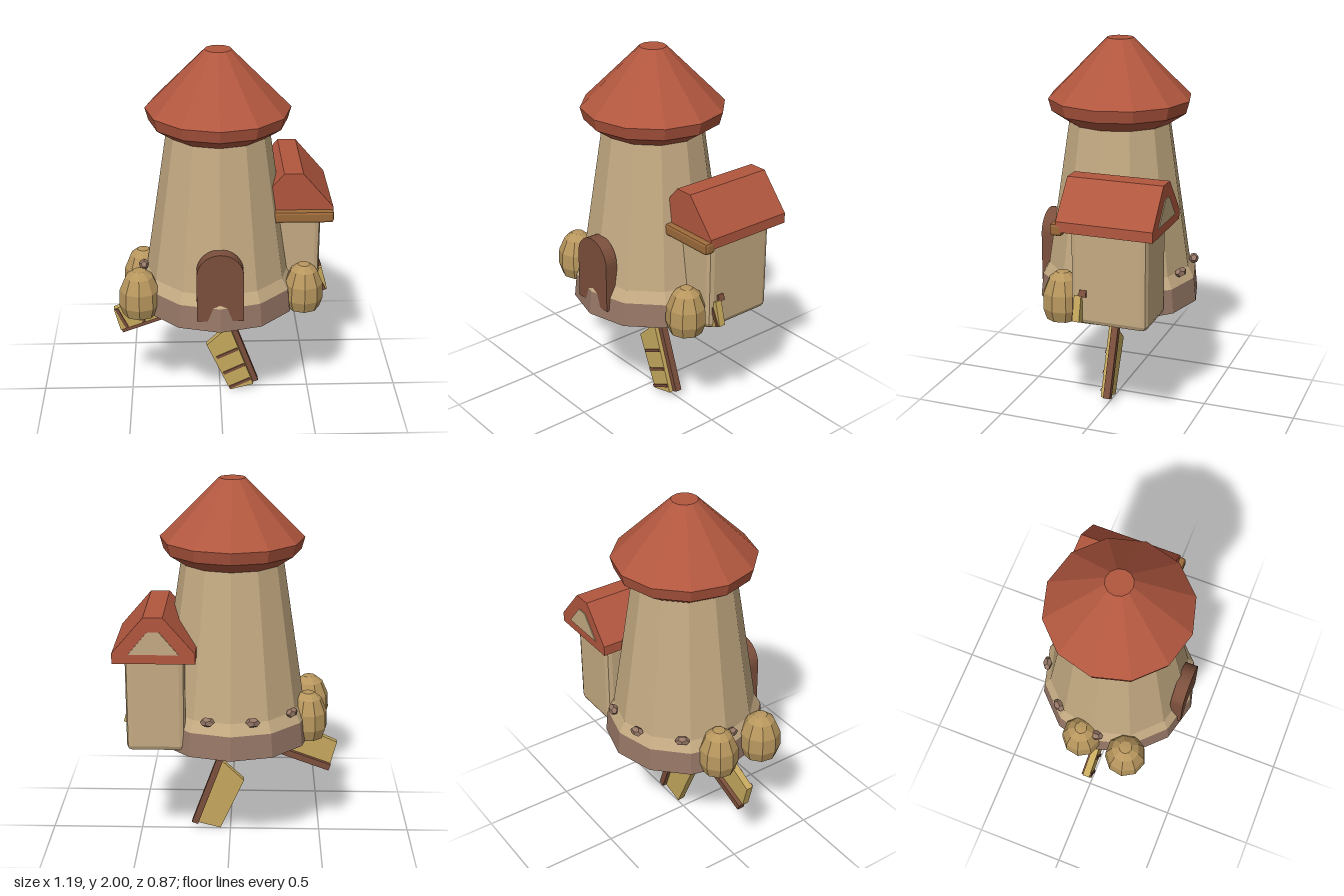
import * as THREE from 'three';
import { RoundedBoxGeometry } from 'three/addons/geometries/RoundedBoxGeometry.js';

const mat = (name, color) => {
  const m = new THREE.MeshStandardMaterial({ color, flatShading: true, side: THREE.DoubleSide });
  m.name = name;
  return m;
};

export function createModel() {
  const group = new THREE.Group();
  const plaster = mat('plaster', 0xc4aa82);
  const stone = mat('stone', 0x967766);
  const tile = mat('roofTile', 0xb2573f);
  const wood = mat('darkWood', 0x7c4f3c);
  const timber = mat('timber', 0x9c6a3a);
  const straw = mat('straw', 0xb8975e);
  const canvas = mat('sailCloth', 0xc6a95e);

  const add = (name, geometry, material, x = 0, y = 0, z = 0, parent = group) => {
    const mesh = new THREE.Mesh(geometry, material);
    mesh.name = name;
    mesh.position.set(x, y, z);
    parent.add(mesh);
    return mesh;
  };
  const lathe = (points, sides) =>
    new THREE.LatheGeometry(points.map(p => new THREE.Vector2(...p)), sides);
  const extrude = (points, depth) => new THREE.ExtrudeGeometry(
    new THREE.Shape(points.map(p => new THREE.Vector2(...p))), { depth, bevelEnabled: false });

  // Twelve-sided tower, open underneath
  add('foundation', lathe([[0.435, 0.6], [0.422, 0.73]], 12), stone, -0.01);
  add('tower', lathe([[0.422, 0.73], [0.388, 0.79], [0.27, 1.57]], 12), plaster, -0.01);
  add('towerRoof', lathe([[0, 1.56], [0.265, 1.56], [0.362, 1.625], [0.38, 1.69], [0.07, 2], [0, 2]], 12),
    tile, -0.01);

  // Arched door
  const arch = new THREE.Shape();
  arch.moveTo(-0.122, 0.655);
  arch.lineTo(0.122, 0.655);
  arch.lineTo(0.122, 0.915);
  arch.absarc(0, 0.915, 0.122, 0, Math.PI, false);
  arch.closePath();
  add('door', new THREE.ExtrudeGeometry(arch, { depth: 0.07, bevelEnabled: false, curveSegments: 10 }),
    wood, -0.01, 0, 0.342);

  // Side shed with chamfered walls and a flat-topped gable roof
  const shed = new THREE.Group();
  shed.name = 'shed';
  shed.position.x = 0.382;
  group.add(shed);
  add('shedWalls', new RoundedBoxGeometry(0.31, 0.53, 0.41, 1, 0.03), plaster, 0, 0.875, -0.135, shed);
  add('shedRoof', extrude([[-0.213, 1.115], [0.213, 1.115], [0.213, 1.17], [0.05, 1.36],
    [-0.05, 1.36], [-0.213, 1.17]], 0.51), tile, 0, 0, -0.39, shed);
  add('shedGable', extrude([[-0.13, 1.165], [0.13, 1.165], [0.03, 1.285], [-0.03, 1.285]], 0.006),
    plaster, 0, 0, -0.395, shed);
  add('shedBeam', new RoundedBoxGeometry(0.43, 0.065, 0.065, 1, 0.015), timber, 0, 1.124, 0.122, shed);

  // Rounded straw bushes
  const bushProfile = [[0, 0.6], [0.092, 0.6], [0.112, 0.66], [0.108, 0.745],
    [0.075, 0.82], [0.035, 0.852], [0, 0.855]];
  for (const [x, z, s] of [[-0.435, 0.2, 1], [-0.42, -0.065, 0.96], [0.445, 0.148, 0.96]]) {
    const bush = add('bush', lathe(bushProfile, 9), straw, x, 0, z);
    bush.scale.set(s, 1, s);
  }

  // Small stones resting along the foundation ledge
  for (const [x, z] of [[-0.125, -0.385], [0.11, -0.385], [-0.33, -0.235], [-0.415, 0.02]]) {
    const pebble = add('ledgeStone', new THREE.DodecahedronGeometry(1, 0), stone, x, 0.798, z);
    pebble.scale.set(0.04, 0.027, 0.026);
    pebble.rotation.y = Math.atan2(x + 0.01, z);
  }

  // Four-armed sail wheel, crossing the foot of the tower
  const wheel = new THREE.Group();
  wheel.name = 'sailWheel';
  wheel.position.set(0, 0.587, 0);
  group.add(wheel);
  add('hub', new THREE.SphereGeometry(0.055, 8, 5), canvas, -0.015, 0.015, 0.055, wheel);
  for (let i = 0; i < 4; i++) {
    const arm = new THREE.Group();
    arm.name = 'sailArm';
    arm.rotation.z = THREE.MathUtils.degToRad(20 + i * 90);
    wheel.add(arm);
    add('spar', new THREE.BoxGeometry(0.585, 0.036, 0.038), wood, 0.2925, 0, -0.002, arm);
    add('sail', extrude([[0.18, -0.012], [0.25, -0.172], [0.572, -0.148], [0.585, -0.012]], 0.038),
      canvas, 0, 0, 0.003, arm);
    for (const u of [0.34, 0.45, 0.55]) {
      const slat = add('slat', new THREE.BoxGeometry(0.016, 0.13, 0.009), wood, u, -0.082, 0.044, arm);
      slat.rotation.z = 0.1;
    }
  }
  return group;
}
